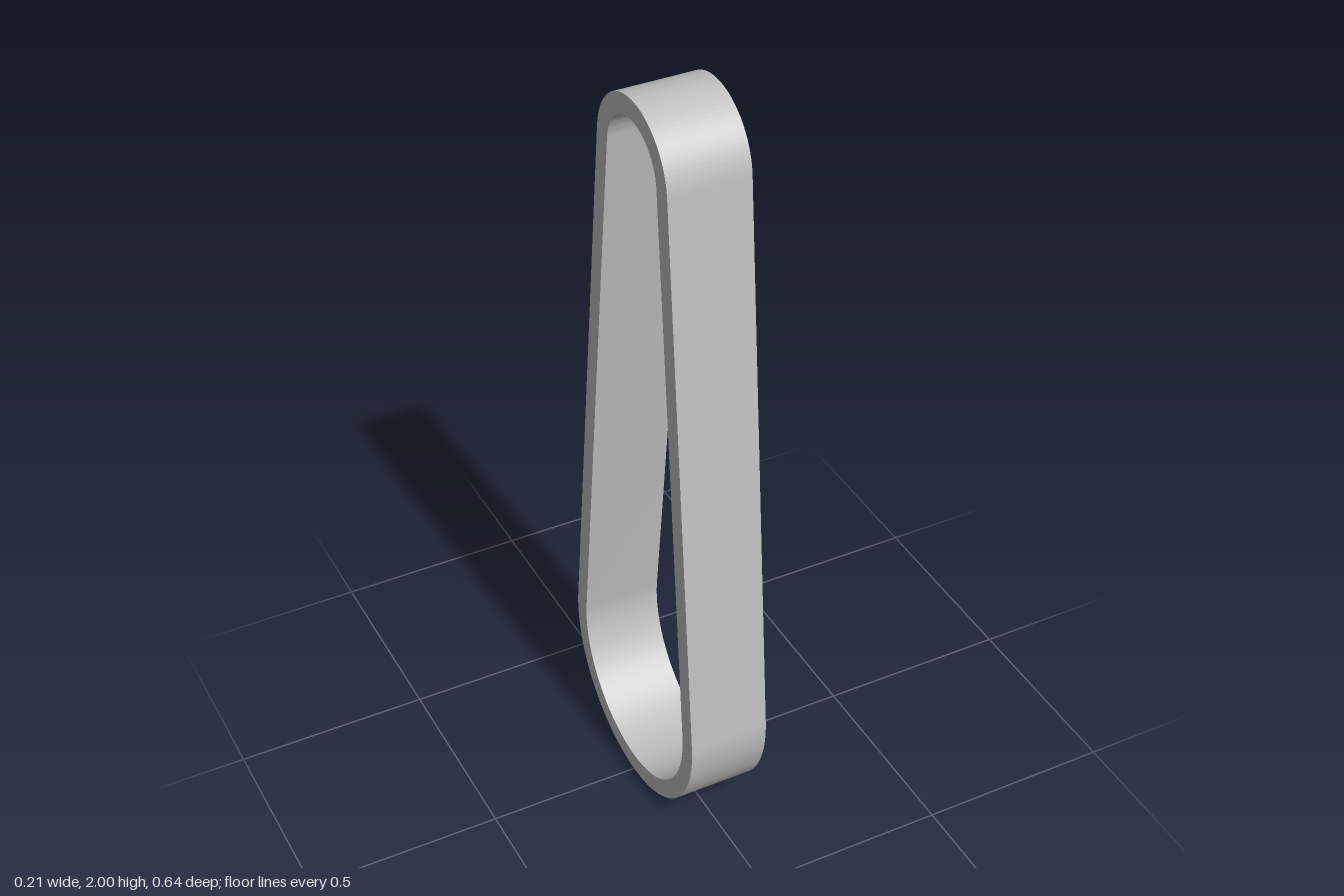
import * as THREE from 'three';
import { toCreasedNormals } from 'three/addons/utils/BufferGeometryUtils.js';

const WIDTH = 0.206, THICKNESS = 0.05;
const LOW = { z: 0, y: 0.322, r: 0.322 };
const HIGH = { z: 0.021, y: 1.83, r: 0.17 };

// Closed outline wrapped around both pulley circles, shrunk by inset
function beltOutline(path, inset) {
  const dz = HIGH.z - LOW.z, dy = HIGH.y - LOW.y;
  const axis = Math.atan2(dy, dz);
  const spread = Math.acos((LOW.r - HIGH.r) / Math.hypot(dz, dy));
  path.absarc(HIGH.z, HIGH.y, HIGH.r - inset, axis - spread, axis + spread, false);
  path.absarc(LOW.z, LOW.y, LOW.r - inset, axis + spread, axis - spread + 2 * Math.PI, false);
  path.closePath();
  return path;
}

export function createModel() {
  const group = new THREE.Group();
  group.name = 'driveBelt';
  const grey = new THREE.MeshStandardMaterial({ color: 0xbfbfbf });
  grey.name = 'beltGrey';

  // Belt loop: outer outline with the inner one cut out, extruded across x
  const shape = beltOutline(new THREE.Shape(), 0);
  shape.holes.push(beltOutline(new THREE.Path(), THICKNESS));
  const extruded = new THREE.ExtrudeGeometry(shape, { depth: WIDTH, bevelEnabled: false, curveSegments: 40 });
  extruded.translate(0, 0, -WIDTH / 2);
  extruded.rotateY(-Math.PI / 2);

  const belt = new THREE.Mesh(toCreasedNormals(extruded, 0.6), grey);
  belt.name = 'beltLoop';
  group.add(belt);
  return group;
}
